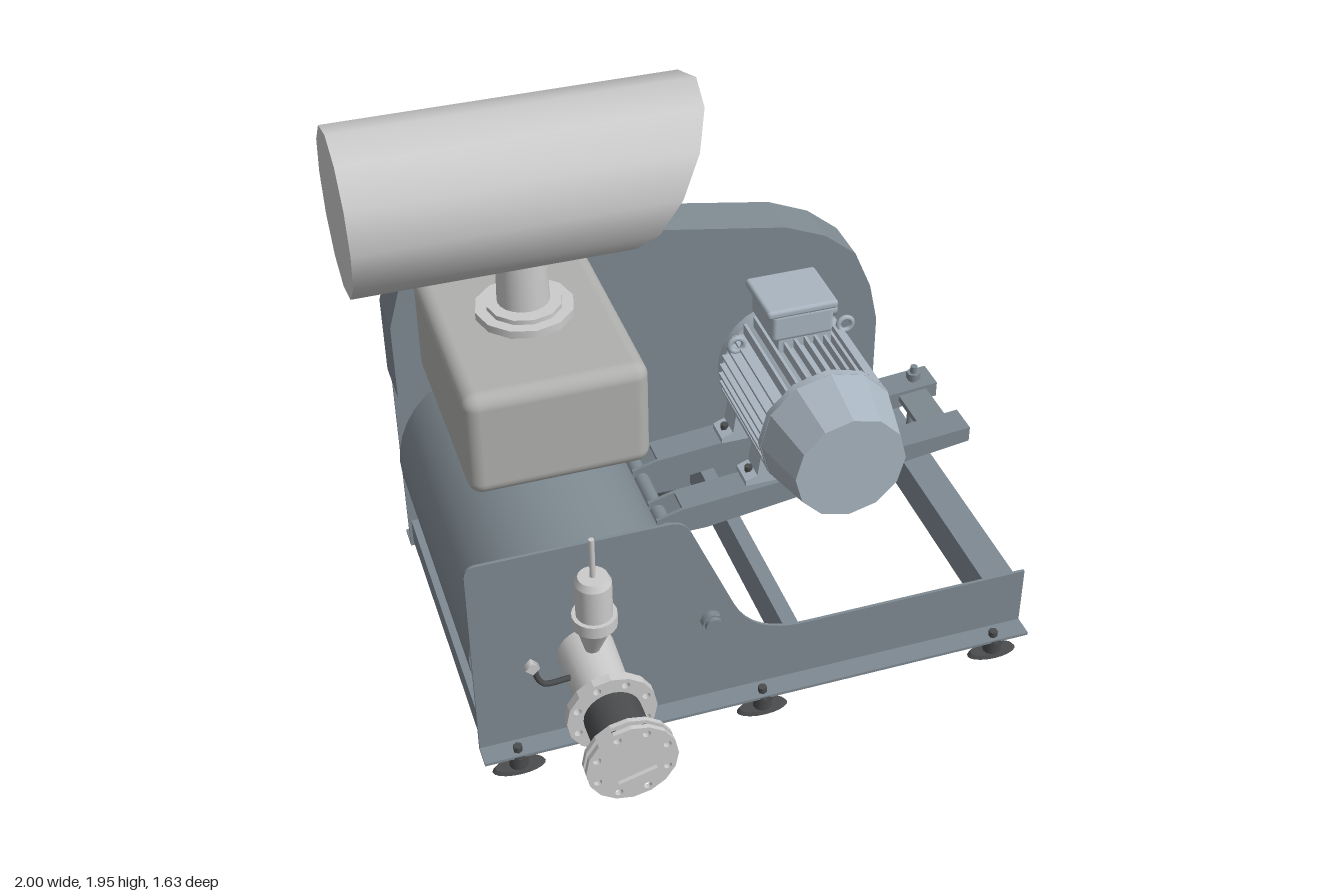
import * as THREE from 'three';
import { toCreasedNormals } from 'three/addons/utils/BufferGeometryUtils.js';
import { RoundedBoxGeometry } from 'three/addons/geometries/RoundedBoxGeometry.js';

const paint = (color) => new THREE.MeshStandardMaterial({ color, side: THREE.DoubleSide });
const steel = paint(0x7f8a92), motorGrey = paint(0xa9b5c0), light = paint(0xcccccc);
const boxGrey = paint(0xb0b0ae), dark = paint(0x4a4c4e);

export function createModel() {
  const root = new THREE.Group();

  const add = (name, geo, mat, x = 0, y = 0, z = 0, parent = root) => {
    const m = new THREE.Mesh(geo, mat);
    m.name = name;
    m.position.set(x, y, z);
    parent.add(m);
    return m;
  };
  // box given by its minimum and maximum corners
  const block = (name, mat, a, b, parent) => add(name,
    new THREE.BoxGeometry(b[0] - a[0], b[1] - a[1], b[2] - a[2]), mat,
    (a[0] + b[0]) / 2, (a[1] + b[1]) / 2, (a[2] + b[2]) / 2, parent);
  // upright cylinder from y0 to y1
  const post = (name, mat, x, z, y0, y1, r0, r1 = r0, n = 20, parent) => add(name,
    new THREE.CylinderGeometry(r1, r0, y1 - y0, n), mat, x, (y0 + y1) / 2, z, parent);
  // cylinder along z from z0 to z1
  const barrel = (name, mat, x, y, z0, z1, r0, r1 = r0, n = 24, parent) => add(name,
    new THREE.CylinderGeometry(r1, r0, z1 - z0, n).rotateX(Math.PI / 2), mat, x, y, (z0 + z1) / 2, parent);
  // flat shape in the xy plane, extruded from z0 to z1
  const slab = (name, mat, shape, z0, z1, parent) => add(name,
    new THREE.ExtrudeGeometry(shape, { depth: z1 - z0, bevelEnabled: false, curveSegments: 8 }),
    mat, 0, 0, z0, parent);
  const poly = (pts) => new THREE.Shape(pts.map((p) => new THREE.Vector2(...p)));

  // Front side plate with swept cut-out
  const side = new THREE.Shape();
  side.moveTo(-0.83, 0.06);
  side.lineTo(1, 0.06);
  side.lineTo(1, 0.28);
  side.lineTo(0.24, 0.28);
  side.quadraticCurveTo(0.06, 0.28, 0.0, 0.42);
  side.lineTo(-0.14, 0.75);
  side.quadraticCurveTo(-0.16, 0.8, -0.21, 0.8);
  side.lineTo(-0.79, 0.8);
  side.quadraticCurveTo(-0.83, 0.8, -0.83, 0.76);
  slab('frontPlate', steel, side, 0.31, 0.32);

  // Back plate and belt guard share the arched outline
  const arch = [[0.81, 0.28], [0.81, 0.76], [0.78, 0.9], [0.72, 1.04], [0.61, 1.13], [0.47, 1.19],
    [-0.4, 1.34], [-0.5, 1.355], [-0.63, 1.355], [-0.72, 1.31], [-0.8, 1.22], [-0.84, 1.08], [-0.84, 0.81]];
  slab('backPlate', steel, poly([[-0.83, 0.06], [1, 0.06], [1, 0.28], ...arch, [-0.83, 0.81]]), -0.71, -0.7);
  slab('beltGuard', steel, poly([...arch, [-0.4, 0.81], [-0.3, 0.28]]), -0.708, -0.54);

  // Base flanges and cross members
  block('frontFlange', steel, [-0.83, 0.06, 0.31], [1, 0.07, 0.39]);
  block('backFlange', steel, [-0.83, 0.06, -0.78], [1, 0.07, -0.7]);
  for (const [x0, x1, y0, y1] of [[0.87, 0.98, 0.12, 0.25], [0.19, 0.24, 0.08, 0.22], [-0.82, -0.77, 0.08, 0.17]]) {
    block('crossWeb', steel, [x0, y0, -0.7], [x0 + 0.012, y1, 0.31]);
    block('crossTop', steel, [x0, y1 - 0.012, -0.7], [x1, y1, 0.31]);
    block('crossBottom', steel, [x0, y0, -0.7], [x1, y0 + 0.012, 0.31]);
  }

  // Levelling feet
  for (const x of [-0.72, 0.08, 0.885]) for (const z of [0.365, -0.755]) {
    post('footPad', dark, x, z, 0, 0.012, 0.085, 0.075).scale.z = 0.42;
    post('footStem', dark, x, z, 0.01, 0.065, 0.03, 0.03, 12);
    post('footNut', dark, x, z, 0.04, 0.06, 0.034, 0.034, 6);
    post('footBolt', dark, x, z, 0.07, 0.09, 0.015, 0.015, 6);
  }

  // Drum behind the front plate
  barrel('drum', steel, -0.485, 0.43, -0.7, 0.31, 0.35, 0.35, 40);

  // Housing on top with intake neck and hopper
  add('housing', new RoundedBoxGeometry(0.55, 0.35, 0.71, 4, 0.045), boxGrey, -0.485, 1.095, -0.185);
  post('hopperFlange', boxGrey, -0.47, -0.2, 0.88, 0.93, 0.12);
  post('hopper', boxGrey, -0.47, -0.2, 0.76, 0.88, 0.05, 0.09);
  post('neckFlange', light, -0.48, -0.225, 1.265, 1.295, 0.15, 0.15, 12);
  post('neckCollar', light, -0.48, -0.225, 1.295, 1.31, 0.115, 0.115, 12);
  post('neck', light, -0.48, -0.235, 1.3, 1.5, 0.08, 0.075);

  // Intake silencer with an oblique mouth
  const tube = new THREE.CylinderGeometry(0.245, 0.245, 1, 12).rotateZ(-Math.PI / 2);
  const p = tube.attributes.position;
  for (let i = 0; i < p.count; i++) p.setX(i, p.getX(i) > 0 ? -0.06 + p.getY(i) * 0.49 : -1);
  add('silencer', toCreasedNormals(tube, 0.65), light, 0, 1.705, -0.23);

  // Outlet pipe with flanges and rubber sleeve
  const X = -0.48, Y = 0.38;
  barrel('outletPipe', light, X, Y, 0.3, 0.58, 0.09, 0.08);
  barrel('rubberSleeve', dark, X, Y, 0.6, 0.78, 0.088);
  const ring = new THREE.Shape().absarc(0, 0, 0.138, 0, Math.PI * 2);
  for (let i = 0; i < 8; i++) {
    const a = (i + 0.5) * Math.PI / 4;
    ring.holes.push(new THREE.Path().absarc(0.113 * Math.cos(a), 0.113 * Math.sin(a), 0.012, 0, Math.PI * 2, true));
  }
  const bore = [0, 1, 2, 3].map((i) => new THREE.Vector2(0.085 * Math.cos(1.05 + i * Math.PI / 2), 0.085 * Math.sin(1.05 + i * Math.PI / 2)));
  ring.holes.push(new THREE.Path(bore));
  for (const [z0, z1] of [[0.577, 0.607], [0.765, 0.78], [0.795, 0.81]])
    slab('outletFlange', light, ring, z0, z1).position.set(X, Y, z0);
  barrel('outletCore', light, X, Y, 0.775, 0.797, 0.09);

  // Relief valve above the outlet
  const cone = post('valveCone', light, X, 0.42, 0.45, 0.61, 0.02, 0.06);
  cone.rotation.x = 0.25;
  post('valveCollar', light, X, 0.445, 0.6, 0.64, 0.068);
  post('valveBody', light, X, 0.445, 0.64, 0.76, 0.055);
  post('valveCap', light, X, 0.445, 0.76, 0.782, 0.055, 0.045);
  post('valveRod', light, X, 0.445, 0.78, 0.92, 0.009, 0.009, 8);

  // Small gauge on a bent line
  const line = new THREE.CatmullRomCurve3([[-0.56, 0.4], [-0.64, 0.4], [-0.66, 0.43], [-0.67, 0.48]]
    .map(([x, y]) => new THREE.Vector3(x, y, 0.44)));
  add('gaugeLine', new THREE.TubeGeometry(line, 12, 0.009, 8), dark);
  barrel('gauge', light, -0.675, 0.48, 0.43, 0.455, 0.022, 0.022, 4);

  // Pivot shaft of the motor cradle
  barrel('pivotShaft', steel, -0.08, 0.39, -0.82, 0.36, 0.027, 0.027, 16);
  for (const z of [-0.76, 0.32]) barrel('shaftCollar', steel, -0.08, 0.39, z, z + 0.025, 0.034, 0.034, 8);

  // Tilting cradle: two tapered channels
  const web = poly([[-0.11, 0.36], [0.06, 0.36], [0.99, 0.49], [0.99, 0.545], [-0.02, 0.455], [-0.11, 0.43]]);
  const top = poly([[-0.02, 0.443], [0.99, 0.533], [0.99, 0.545], [-0.02, 0.455]]);
  for (const z of [-0.13, -0.4]) {
    slab('cradleTop', steel, top, z - 0.105, z);
    slab('cradleWeb', steel, web, z - 0.012, z);
    slab('cradleWeb', steel, web, z - 0.105, z - 0.093);
  }
  slab('cradleTie', steel, poly([[0.85, 0.5], [0.95, 0.51], [0.95, 0.53], [0.85, 0.52]]), -0.42, -0.22);
  post('tensionRod', steel, 0.92, -0.445, 0.12, 0.6, 0.012, 0.012, 10);
  for (const y of [0.24, 0.47, 0.55]) post('tensionNut', steel, 0.92, -0.445, y, y + 0.025, 0.025, 0.025, 6);

  // Motor, built around its own axis
  const motor = new THREE.Group();
  motor.name = 'motor';
  motor.position.set(0.44, 0.72, 0);
  root.add(motor);
  barrel('motorBody', motorGrey, 0, 0, -0.5, -0.04, 0.195, 0.195, 32, motor);
  const cowl = barrel('fanCowl', motorGrey, 0, 0, -0.05, 0.15, 0.23, 0.185, 12, motor);
  cowl.geometry = toCreasedNormals(cowl.geometry, 0.3);
  barrel('cowlRim', motorGrey, 0, 0, -0.07, -0.045, 0.23, 0.23, 12, motor);
  barrel('endShield', motorGrey, 0, 0, -0.5, -0.46, 0.215, 0.215, 32, motor);
  barrel('mountingFlange', motorGrey, 0, 0, -0.55, -0.5, 0.18, 0.18, 32, motor);
  // cooling fins, horizontal on the flanks and upright above and below
  for (const s of [-1, 1]) {
    for (let i = -4; i <= 4; i++) {
      const o = i * 0.034, r = Math.sqrt(0.226 ** 2 - o * o);
      block('sideFin', motorGrey, [Math.min(0, s * r), o - 0.005, -0.46], [Math.max(0, s * r), o + 0.005, -0.07], motor);
      block('verticalFin', motorGrey, [o - 0.005, Math.min(0, s * r), -0.46], [o + 0.005, Math.max(0, s * r), -0.07], motor);
    }
    // feet and lifting eyes
    for (const z of [-0.43, -0.19]) {
      const foot = poly([[s * 0.1, -0.17], [s * 0.19, -0.13], [s * 0.2, -0.2], [s * 0.24, -0.215], [s * 0.24, -0.235], [s * 0.1, -0.235]]);
      slab('motorFoot', motorGrey, foot, z - 0.045, z + 0.045, motor);
      post('footBolt', dark, s * 0.215, z, -0.26, -0.19, 0.014, 0.014, 6, motor);
    }
    add('liftingEye', new THREE.TorusGeometry(0.025, 0.009, 8, 14), motorGrey, s * 0.19, 0.155, -0.39, motor);
  }

  // Terminal box with cable glands
  block('boxSaddle', motorGrey, [-0.09, 0.17, -0.43], [0.09, 0.25, -0.27], motor);
  add('terminalBox', new RoundedBoxGeometry(0.21, 0.1, 0.2, 2, 0.015), motorGrey, -0.015, 0.285, -0.35, motor);
  add('terminalLid', new RoundedBoxGeometry(0.24, 0.03, 0.22, 2, 0.012), motorGrey, -0.02, 0.345, -0.35, motor);
  for (const z of [-0.31, -0.385])
    add('cableGland', new THREE.CylinderGeometry(0.026, 0.026, 0.03, 12).rotateZ(Math.PI / 2), motorGrey, 0.1, 0.29, z, motor);

  return root;
}
